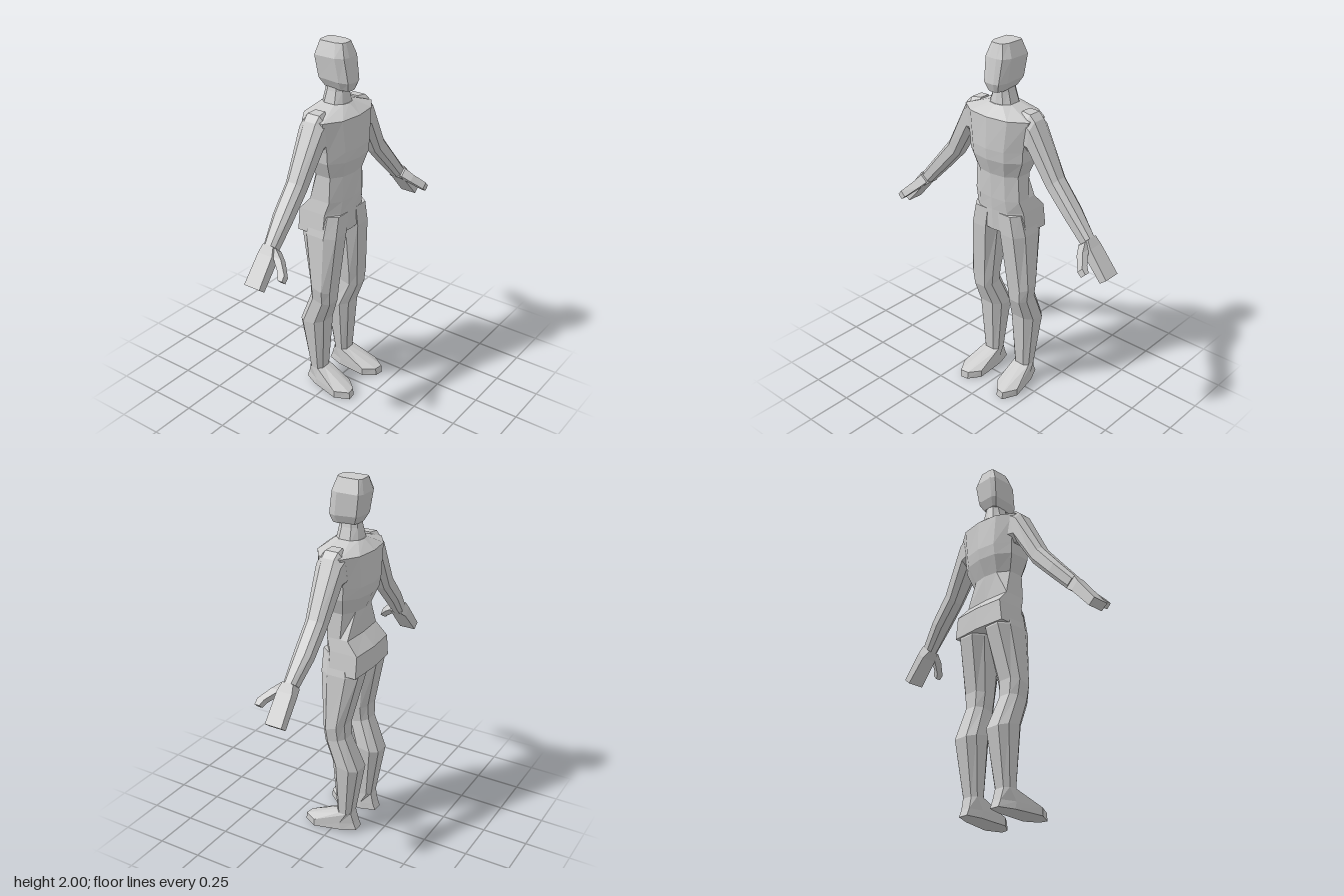
import * as THREE from 'three';

// Unit outlines (u across, v towards the front), ordered +u, front, -u, back
const BODY = [[1, 0.45], [0.58, 0.88], [0, 1], [-0.58, 0.88], [-1, 0.45],
  [-1, -0.45], [-0.58, -0.88], [0, -1], [0.58, -0.88], [1, -0.45]];
const PELVIS = [[1, 0.45], [0.58, 0.9], [0, 1], [-0.58, 0.9], [-1, 0.45],
  [-1, -0.4], [-1, -0.9], [0, -1], [1, -0.9], [1, -0.4]];
const LIMB = [[1, 0.5], [0.55, 1], [-0.55, 1], [-1, 0.5], [-1, -0.5], [-0.55, -1], [0.55, -1], [1, -0.5]];
const HEAD = [[1, 0.45], [0.7, 0.9], [0.3, 1], [-0.3, 1], [-0.7, 0.9], [-1, 0.45], [-1, -0.85],
  [-0.65, -1], [0.65, -1], [1, -0.85]];
const TOES = [[1, 0.5], [0.25, 1], [-0.35, 0.95], [-1, 0.55], [-1, -0.5], [-0.6, -1], [0.6, -1], [1, -0.5]];
const BOX = [[1, 1], [-1, 1], [-1, -1], [1, -1]];

const material = new THREE.MeshStandardMaterial({ color: 0xcccccc, flatShading: true });

// One cross-section spanning a to b in x/y and zBack to zFront.
// slope lifts the front edge over the back; back narrows the rear edge.
function section(a, b, zFront, zBack, profile, { slope = 0, back = 1 } = {}) {
  return profile.map(([u, v]) => {
    const f = (v + 1) / 2;
    const t = ((u + 1) / 2) * THREE.MathUtils.lerp(back, 1, f);
    return new THREE.Vector3(
      THREE.MathUtils.lerp(a[0], b[0], t),
      THREE.MathUtils.lerp(a[1], b[1], t) + v * slope,
      THREE.MathUtils.lerp(zBack, zFront, f));
  });
}

// Symmetric cross-section at a height
const level = (y, half, zFront, zBack, profile, options) =>
  section([-half, y], [half, y], zFront, zBack, profile, options);

// Closed faceted skin over cross-sections; side -1 mirrors it
function loft(name, sections, side = 1) {
  const rings = sections.map((ring) => {
    const copy = ring.map((p) => new THREE.Vector3(p.x * side, p.y, p.z));
    return side < 0 ? copy.reverse() : copy;
  });
  const positions = [];
  const tri = (...points) => points.forEach((p) => positions.push(p.x, p.y, p.z));
  const n = rings[0].length;
  const last = rings[rings.length - 1];
  const middle = (ring) => ring.reduce((sum, p) => sum.add(p), new THREE.Vector3()).divideScalar(n);
  const start = middle(rings[0]);
  const end = middle(last);
  for (let j = 0; j < n; j++) {
    const k = (j + 1) % n;
    for (let i = 0; i < rings.length - 1; i++) {
      const [r, s] = [rings[i], rings[i + 1]];
      tri(r[j], r[k], s[k]);
      tri(r[j], s[k], s[j]);
    }
    tri(start, rings[0][k], rings[0][j]);
    tri(end, last[j], last[k]);
  }
  const geometry = new THREE.BufferGeometry();
  geometry.setAttribute('position', new THREE.Float32BufferAttribute(positions, 3));
  geometry.computeVertexNormals();
  const mesh = new THREE.Mesh(geometry, material);
  mesh.name = name;
  return mesh;
}

export function createModel() {
  const model = new THREE.Group();
  model.name = 'figure';

  // Head and neck
  model.add(loft('head', [
    level(2.0, 0.05, 0.04, -0.105, HEAD),
    level(1.93, 0.078, 0.065, -0.122, HEAD),
    level(1.81, 0.068, 0.085, -0.105, HEAD, { slope: -0.006 }),
    level(1.765, 0.045, 0.07, -0.08, HEAD, { slope: -0.006 }),
  ]));
  model.add(loft('neck', [
    level(1.78, 0.044, 0.035, -0.08, BODY),
    level(1.75, 0.05, 0.035, -0.085, BODY),
    level(1.67, 0.075, 0.05, -0.1, BODY),
  ]));

  // Chest, waist and pelvis
  model.add(loft('torso', [
    level(1.69, 0.075, 0.05, -0.1, BODY),
    level(1.64, 0.212, 0.115, -0.16, BODY),
    level(1.47, 0.18, 0.12, -0.16, BODY),
    level(1.41, 0.177, 0.115, -0.15, BODY),
    level(1.32, 0.142, 0.085, -0.11, BODY),
    level(1.18, 0.15, 0.08, -0.1, PELVIS),
    level(1.11, 0.162, 0.075, -0.165, PELVIS),
    level(0.99, 0.177, 0.07, -0.165, PELVIS),
  ]));

  for (const [label, side] of [['left', 1], ['right', -1]]) {
    // Leg running down into the foot
    model.add(loft(label + 'Leg', [
      section([0.0, 1.1], [0.155, 1.1], 0.07, -0.12, LIMB),
      section([0.015, 0.98], [0.182, 0.98], 0.07, -0.15, LIMB),
      section([0.052, 0.67], [0.204, 0.67], 0.045, -0.083, LIMB, { slope: -0.02 }),
      section([0.062, 0.59], [0.192, 0.59], 0.04, -0.085, LIMB, { slope: -0.015 }),
      section([0.038, 0.435], [0.195, 0.435], -0.005, -0.16, LIMB, { slope: 0.015 }),
      section([0.064, 0.12], [0.167, 0.12], -0.025, -0.11, LIMB),
    ], side));
    model.add(loft(label + 'Foot', [
      section([0.064, 0.12], [0.167, 0.12], -0.025, -0.11, TOES),
      section([0.062, 0.05], [0.22, 0.05], 0.17, -0.125, TOES, { slope: -0.008, back: 0.62 }),
      section([0.062, 0.01], [0.22, 0.01], 0.175, -0.14, TOES, { slope: -0.01, back: 0.62 }),
    ], side));

    // Arm from shoulder to wrist
    model.add(loft(label + 'Arm', [
      section([0.13, 1.49], [0.14, 1.675], 0.03, -0.085, LIMB),
      section([0.16, 1.475], [0.195, 1.67], 0.045, -0.1, LIMB),
      section([0.2, 1.475], [0.228, 1.64], 0.045, -0.095, LIMB),
      section([0.31, 1.3], [0.375, 1.37], 0.025, -0.077, LIMB),
      section([0.425, 1.18], [0.485, 1.24], 0.025, -0.073, LIMB),
      section([0.53, 1.07], [0.587, 1.12], 0.02, -0.05, LIMB),
    ], side));

    // Flat hand with the thumb pointing forward
    model.add(loft(label + 'Hand', [
      section([0.53, 1.07], [0.587, 1.12], 0.018, -0.045, BOX),
      section([0.572, 1.04], [0.615, 1.08], 0.032, -0.055, BOX),
      section([0.685, 0.915], [0.722, 0.945], 0.035, -0.06, BOX),
    ], side));
    model.add(loft(label + 'Thumb', [
      section([0.54, 1.075], [0.58, 1.11], 0.03, -0.02, BOX),
      section([0.565, 1.045], [0.6, 1.075], 0.075, 0.025, BOX),
      section([0.615, 0.995], [0.643, 1.025], 0.13, 0.09, BOX),
      section([0.64, 0.975], [0.665, 1.0], 0.132, 0.105, BOX),
    ], side));
  }
  return model;
}
